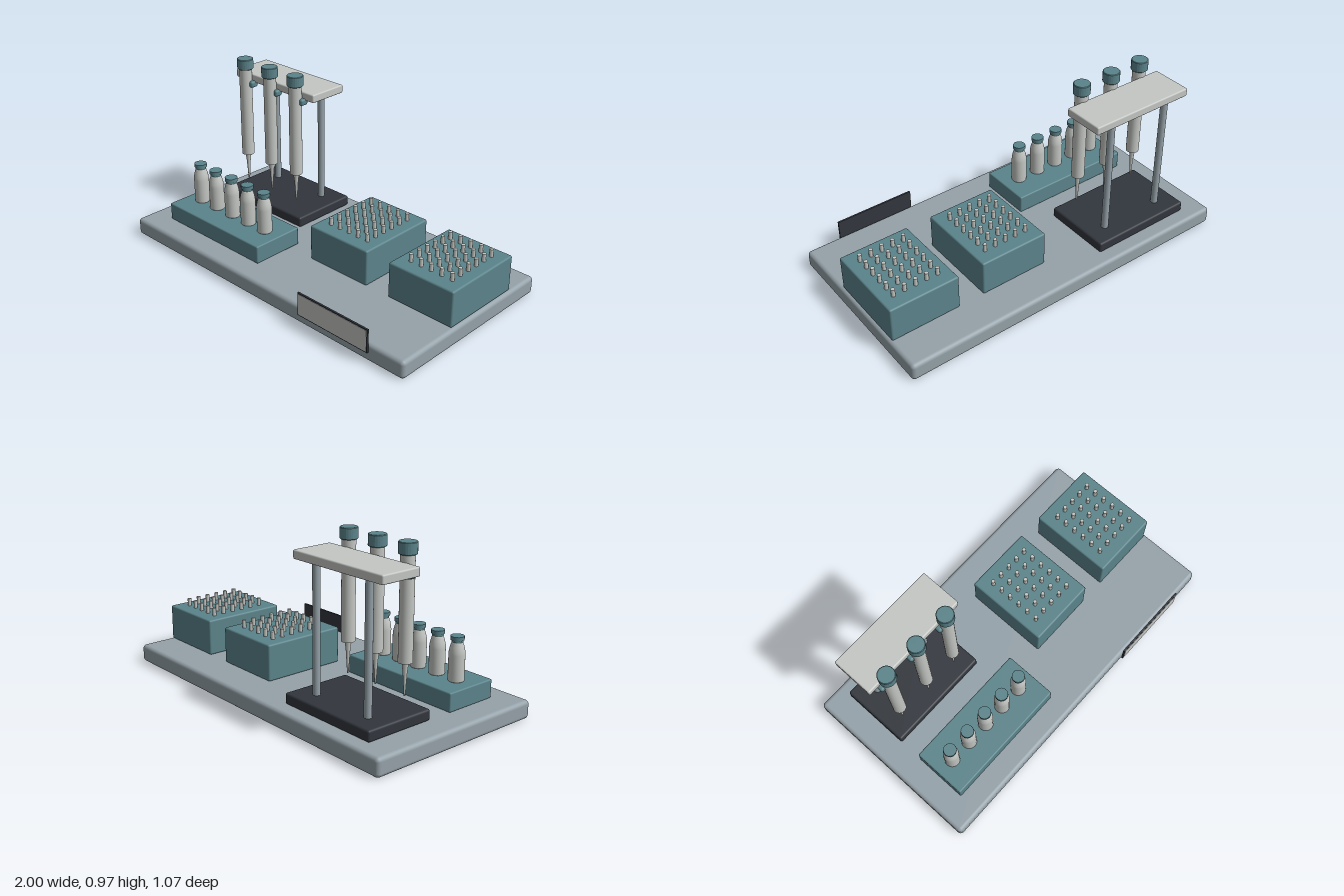
import * as THREE from 'three';
import { RoundedBoxGeometry } from 'three/addons/geometries/RoundedBoxGeometry.js';

const mat = (name, color) => {
  const m = new THREE.MeshStandardMaterial({ color });
  m.name = name;
  return m;
};

export function createModel() {
  const grey = mat('bench grey', 0x95a2a9);
  const teal = mat('muted teal', 0x5b848b);
  const pale = mat('pale grey', 0xc4c7c3);
  const dark = mat('charcoal', 0x32363d);
  const model = new THREE.Group();
  model.name = 'labBench';

  const add = (parent, name, geo, material, x = 0, y = 0, z = 0) => {
    const mesh = new THREE.Mesh(geo, material);
    mesh.name = name;
    mesh.position.set(x, y, z);
    parent.add(mesh);
    return mesh;
  };
  const group = (name, x, y, z) => {
    const g = new THREE.Group();
    g.name = name;
    g.position.set(x, y, z);
    model.add(g);
    return g;
  };
  // Rounded box given by its extents
  const box = (name, material, [x0, x1], [y0, y1], [z0, z1], radius) =>
    add(model, name, new RoundedBoxGeometry(x1 - x0, y1 - y0, z1 - z0, 3, radius), material,
      (x0 + x1) / 2, (y0 + y1) / 2, (z0 + z1) / 2);
  const lathe = (pts, n = 24) =>
    new THREE.LatheGeometry(pts.map(([r, y]) => new THREE.Vector2(r, y)), n);

  // Bench slab
  box('benchBase', grey, [-1, 1], [0, 0.1], [-0.535, 0.515], 0.022);

  // Name plate in front of the bench
  add(model, 'plateBack', new THREE.BoxGeometry(0.46, 0.13, 0.01), dark, 0.5625, 0.125, 0.526);
  add(model, 'plateFace', new THREE.BoxGeometry(0.448, 0.118, 0.003), pale, 0.5625, 0.125, 0.5315);

  // Pipette stand
  box('standFoot', dark, [-0.855, -0.245], [0.1, 0.16], [-0.455, -0.055], 0.012);
  box('standBeam', pale, [-0.86, -0.235], [0.828, 0.875], [-0.39, -0.155], 0.008);
  for (const x of [-0.735, -0.365])
    add(model, 'standPost', new THREE.CylinderGeometry(0.02, 0.02, 0.68, 20), grey, x, 0.495, -0.35);

  // Pipettes with plunger cap, clip and tapered tip
  const barrel = new THREE.CylinderGeometry(0.036, 0.036, 0.53, 24);
  const plunger = new RoundedCap(0.046, 0.06, lathe);
  const tip = lathe([[0, 0.215], [0.004, 0.215], [0.011, 0.33], [0.018, 0.39]], 16);
  const clip = new RoundedBoxGeometry(0.112, 0.037, 0.048, 3, 0.012);
  for (const x of [-0.752, -0.55, -0.348]) {
    const p = group('pipette', x, 0, -0.13);
    add(p, 'barrel', barrel, pale, 0, 0.65, 0);
    add(p, 'plungerCap', plunger.geometry, teal, 0, 0.91, 0);
    add(p, 'clip', clip, teal, 0, 0.821, -0.02);
    add(p, 'tip', tip, pale);
  }

  // Vial rack and vials
  box('vialRack', teal, [-0.855, -0.12], [0.1, 0.202], [0.08, 0.385], 0.008);
  const vialBody = lathe([[0, 0], [0.038, 0], [0.042, 0.006], [0.042, 0.14], [0.041, 0.158],
    [0.036, 0.182], [0.03, 0.2], [0.027, 0.212], [0, 0.212]]);
  const neck = new THREE.CylinderGeometry(0.029, 0.029, 0.014, 24);
  // Ridged cap: alternate columns of vertices are pushed inwards
  const vialCap = new THREE.CylinderGeometry(0.035, 0.035, 0.02, 48);
  const pos = vialCap.attributes.position;
  for (let i = 0; i < pos.count; i++) {
    const column = Math.round(Math.atan2(pos.getZ(i), pos.getX(i)) / (Math.PI / 24));
    if (column % 2) pos.setXYZ(i, pos.getX(i) * 0.95, pos.getY(i), pos.getZ(i) * 0.95);
  }
  for (let i = 0; i < 5; i++) {
    const v = group('vial', -0.75 + i * 0.1315, 0.2, 0.233);
    add(v, 'vialBody', vialBody, pale);
    add(v, 'vialNeck', neck, teal, 0, 0.213, 0);
    add(v, 'vialCap', vialCap, teal, 0, 0.227, 0);
  }

  // Tube blocks with a 5 by 6 grid of pegs
  const peg = new THREE.CylinderGeometry(0.011, 0.011, 0.05, 12);
  for (const x of [0.24, 0.785]) {
    box('tubeBlock', teal, [x - 0.2, x + 0.2], [0.1, 0.302], [-0.335, 0.147], 0.01);
    for (let i = 0; i < 5; i++)
      for (let j = 0; j < 6; j++)
        add(model, 'tubePeg', peg, pale, x + (i - 2) * 0.064, 0.32, -0.095 + (j - 2.5) * 0.063);
  }
  return model;
}

// Cylindrical cap with a small bevel at both rims
class RoundedCap {
  constructor(r, h, lathe) {
    const b = 0.003;
    const side = [[0, 0], [r - b, 0], [r - b, 0], [r, b], [r, b], [r, h - b], [r, h - b],
      [r - b, h], [r - b, h], [0, h]];
    this.geometry = lathe(side).toNonIndexed();
    this.geometry.computeVertexNormals();
  }
}
